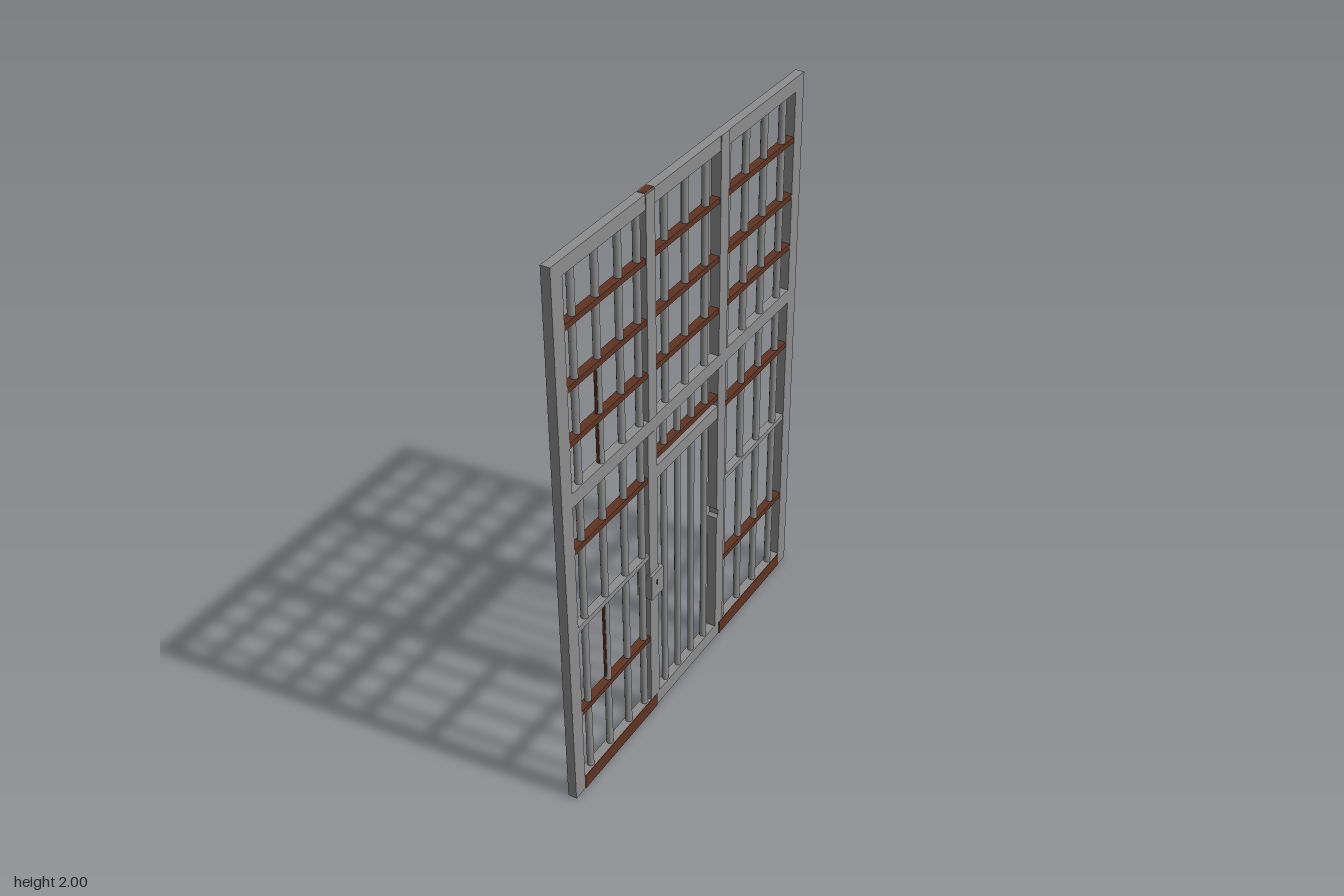
import * as THREE from 'three';

export function createModel() {
  const gate = new THREE.Group();
  gate.name = 'barredGate';

  const steel = new THREE.MeshStandardMaterial({ color: 0x8c8c8c });
  steel.name = 'grey steel';
  const rust = new THREE.MeshStandardMaterial({ color: 0x5e3322 });
  rust.name = 'rust brown';
  const dark = new THREE.MeshStandardMaterial({ color: 0x2a2a2a });
  dark.name = 'keyhole dark';

  // Box given by its limits on each axis
  function box(name, x0, x1, y0, y1, z0, z1, material = steel) {
    const mesh = new THREE.Mesh(new THREE.BoxGeometry(x1 - x0, y1 - y0, z1 - z0), material);
    mesh.position.set((x0 + x1) / 2, (y0 + y1) / 2, (z0 + z1) / 2);
    mesh.name = name;
    gate.add(mesh);
    return mesh;
  }

  // Round upright bar
  function upright(name, z, y0, y1, radius = 0.0125) {
    const mesh = new THREE.Mesh(new THREE.CylinderGeometry(radius, radius, y1 - y0, 10, 1, true), steel);
    mesh.position.set(0, (y0 + y1) / 2, z);
    mesh.name = name;
    gate.add(mesh);
  }

  // Outer frame and rails
  const D = 0.016;
  box('frameStile', -D, D, 0, 2, 0.67, 0.725);
  box('frameStile', -D, D, 0, 2, -0.725, -0.67);
  box('topRail', -D, D, 1.95, 2, -0.67, 0.67);
  box('middleRail', -D, D, 1.167, 1.218, -0.67, 0.67);
  box('bottomRail', -D, D - 0.001, 0, 0.055, -0.67, 0.67);

  // Rusted kick plates on one face of the bottom rail
  box('kickPlate', D - 0.001, D + 0.002, 0, 0.055, 0.217, 0.67, rust);
  box('kickPlate', D - 0.001, D + 0.002, 0, 0.055, -0.67, -0.217, rust);

  // Posts beside the door; the hinge post has a small notch
  box('lockPostUpper', -0.018, 0.018, 1.218, 1.998, 0.198, 0.247);
  box('lockPostLower', -0.019, 0.017, 0.055, 1.167, 0.2, 0.253);
  box('postTopRust', -0.012, 0.012, 1.998, 2.001, 0.193, 0.245, rust);
  box('hingePostUpper', -0.018, 0.018, 1.218, 2, -0.238, -0.187);
  const outline = new THREE.Shape([
    [-0.238, 0.055], [-0.187, 0.055], [-0.187, 0.55], [-0.199, 0.56],
    [-0.199, 0.58], [-0.187, 0.59], [-0.187, 1.167], [-0.238, 1.167],
  ].map(([z, y]) => new THREE.Vector2(-z, y)));
  const notched = new THREE.Mesh(
    new THREE.ExtrudeGeometry(outline, { depth: 0.036, bevelEnabled: false }), steel);
  notched.rotation.y = Math.PI / 2;
  notched.position.x = -0.019;
  notched.name = 'hingePostLower';
  gate.add(notched);

  // Side panels and fanlight: upright bars
  const sideBars = [0.612, 0.493, 0.374, 0.273, -0.254, -0.374, -0.493, -0.613];
  for (const z of sideBars) {
    upright('upperBar', z, 1.218, 1.95);
    upright('lowerBar', z, 0.055, 1.167);
  }
  for (const z of [0.12, 0, -0.122]) upright('fanlightBar', z, 1.218, 1.95);

  // Flat cross bars pierced by the uprights
  const C = 0.0145;
  const bays = [[0.247, 0.67], [-0.187, 0.198], [-0.67, -0.238]];
  const greyBack = [rust, steel, rust, rust, rust, rust];
  for (const y of [1.783, 1.577, 1.388]) {
    bays.forEach(([a, b], i) =>
      box('upperCrossBar', -C, C, y - 0.01, y + 0.01, a, b, i === 2 ? greyBack : rust));
  }
  for (const [a, b] of [[0.253, 0.67], [-0.67, -0.238]]) {
    for (const y of [0.996, 0.335]) {
      box('lowerCrossBar', -C, C, y - 0.01, y + 0.01, a, b, rust);
    }
    box('steelCrossBar', -C, C, 0.678, 0.698, a, b);
  }

  // Rust streaks on the sides of a few uprights: z, side, bottom, top
  for (const [z, side, y0, y1] of [
    [0.493, 1, 0.36, 0.67], [0.493, 1, 1.22, 1.57],
    [-0.613, -1, 0.36, 0.95], [-0.613, -1, 1.25, 1.57], [0.612, -1, 0.36, 0.67],
  ]) {
    const c = z + side * 0.0125;
    box('rustStreak', -0.005, 0.005, y0, y1, c - 0.001, c + 0.001, rust);
  }

  // Door leaf: top rail, bars, and the short bars above it
  box('doorTopRail', -D, D, 0.973, 1.022, -0.187, 0.2);
  box('transomBar', -C, C, 1.046, 1.066, -0.187, 0.2, rust);
  for (const z of [0.134, 0.048, -0.04, -0.127]) {
    upright('doorBar', z, 0.055, 0.973, 0.0115);
    upright('transomUpright', z, 1.056, 1.167, 0.0115);
  }

  // Lock case with keyholes on both faces
  box('lockCase', -0.03, 0.027, 0.51, 0.61, 0.183, 0.257);
  for (const [x0, x1] of [[0.026, 0.028], [-0.031, -0.029]]) {
    box('keyholeSlot', x0, x1, 0.556, 0.572, 0.222, 0.227, dark);
    const hole = new THREE.Mesh(new THREE.CylinderGeometry(0.005, 0.005, x1 - x0, 10), dark);
    hole.rotation.z = Math.PI / 2;
    hole.position.set((x0 + x1) / 2, 0.573, 0.2245);
    hole.name = 'keyholeTop';
    gate.add(hole);
  }

  return gate;
}
